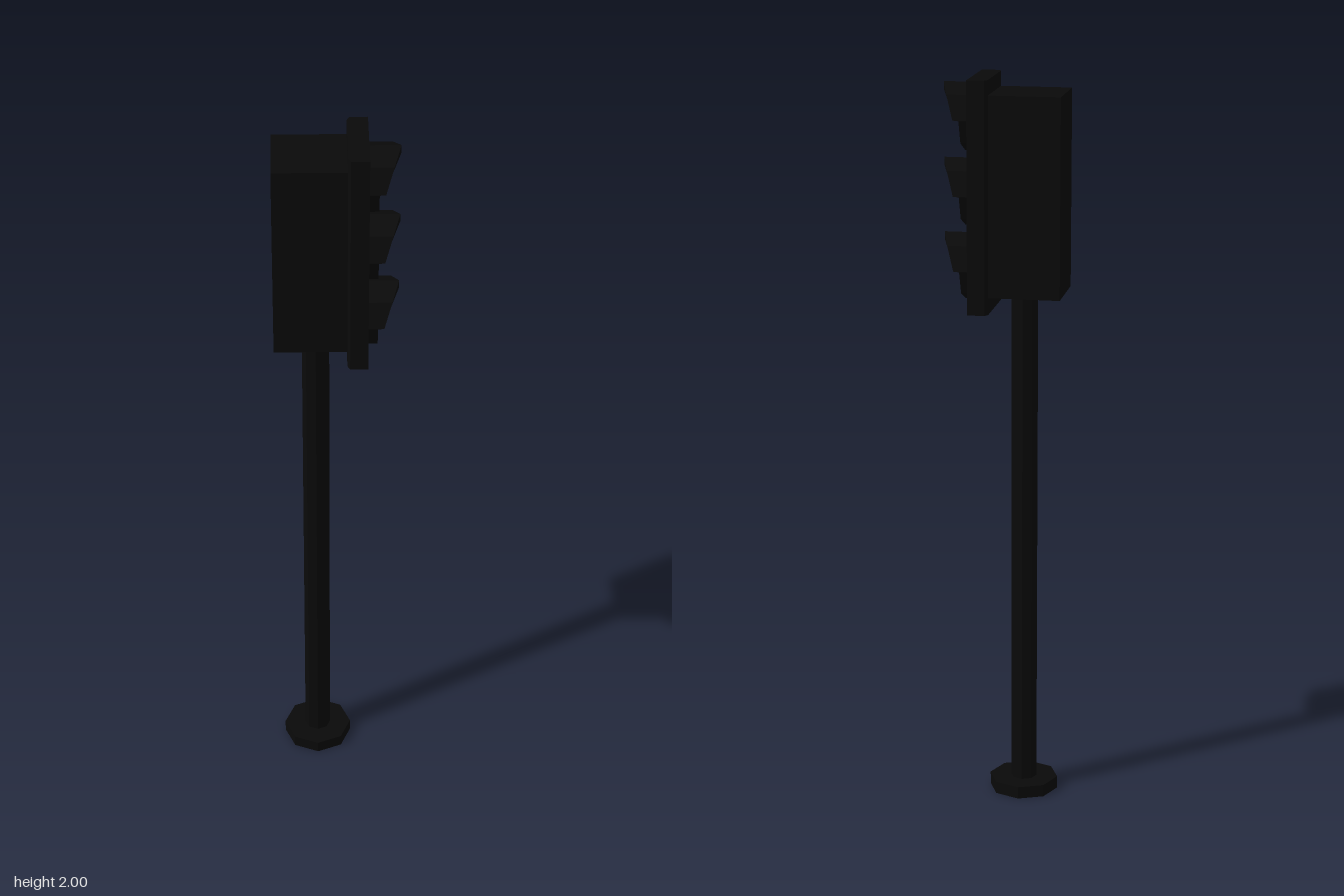
import * as THREE from 'three';

const material = new THREE.MeshStandardMaterial({ color: 0x0a0a0a, flatShading: true });

function add(parent, name, geometry, x = 0, y = 0, z = 0) {
  const mesh = new THREE.Mesh(geometry, material);
  mesh.name = name;
  mesh.position.set(x, y, z);
  parent.add(mesh);
  return mesh;
}

// Eight-sided hood facing +x: deep at the top, stepping down to a shallow lower rim
function visorGeometry(outer, inner) {
  // [degrees from the top, depth]
  const half = [[0, 0.082], [45, 0.063], [90, 0.042], [91, 0.026], [135, 0.026], [180, 0.026]];
  const ring = [...half, ...half.slice(1, -1).reverse().map(([a, d]) => [360 - a, d])];
  const positions = [];
  const indices = [];
  for (const [angle, depth] of ring) {
    const t = THREE.MathUtils.degToRad(angle);
    for (const [x, r] of [[0, outer], [depth, outer], [depth, inner], [0, inner]]) {
      positions.push(x, r * Math.cos(t), r * Math.sin(t));
    }
  }
  const n = ring.length;
  for (let i = 0; i < n; i++) {
    for (let k = 0; k < 3; k++) {
      const a = i * 4 + k;
      const b = ((i + 1) % n) * 4 + k;
      indices.push(a, b, b + 1, a, b + 1, a + 1);
    }
  }
  const geometry = new THREE.BufferGeometry();
  geometry.setAttribute('position', new THREE.Float32BufferAttribute(positions, 3));
  geometry.setIndex(indices);
  geometry.computeVertexNormals();
  return geometry;
}

export function createModel() {
  const model = new THREE.Group();
  model.name = 'trafficLight';

  // Base plate and pole
  const poleX = -0.055;
  add(model, 'basePlate', new THREE.CylinderGeometry(0.095, 0.095, 0.034, 8), poleX, 0.017);
  add(model, 'pole', new THREE.CylinderGeometry(0.036, 0.036, 1.41, 8), poleX, 0.735);

  // Rear housing
  add(model, 'housing', new THREE.BoxGeometry(0.196, 0.535, 0.19), -0.066, 1.6925);

  // Front panel with chamfered rear side edges
  const outline = new THREE.Shape([
    [0.027, -0.096], [0.034, -0.111], [0.081, -0.111],
    [0.081, 0.111], [0.034, 0.111], [0.027, 0.096],
  ].map(([x, y]) => new THREE.Vector2(x, y)));
  const panel = new THREE.ExtrudeGeometry(outline, { depth: 0.62, bevelEnabled: false });
  panel.rotateX(-Math.PI / 2);
  add(model, 'frontPanel', panel, 0, 1.38);

  // Three signal lamps, each a shallow domed lens under a hood
  const visor = visorGeometry(0.09, 0.069);
  const lens = new THREE.SphereGeometry(0.069, 16, 4, 0, Math.PI * 2, 0, Math.PI / 2);
  lens.scale(1, 0.18, 1);
  lens.rotateZ(-Math.PI / 2);
  ['top', 'middle', 'bottom'].forEach((place, i) => {
    const lamp = new THREE.Group();
    lamp.name = `${place}Lamp`;
    lamp.position.set(0.08, 1.892 - i * 0.2, 0);
    add(lamp, 'visor', visor);
    add(lamp, 'lens', lens);
    model.add(lamp);
  });

  return model;
}
